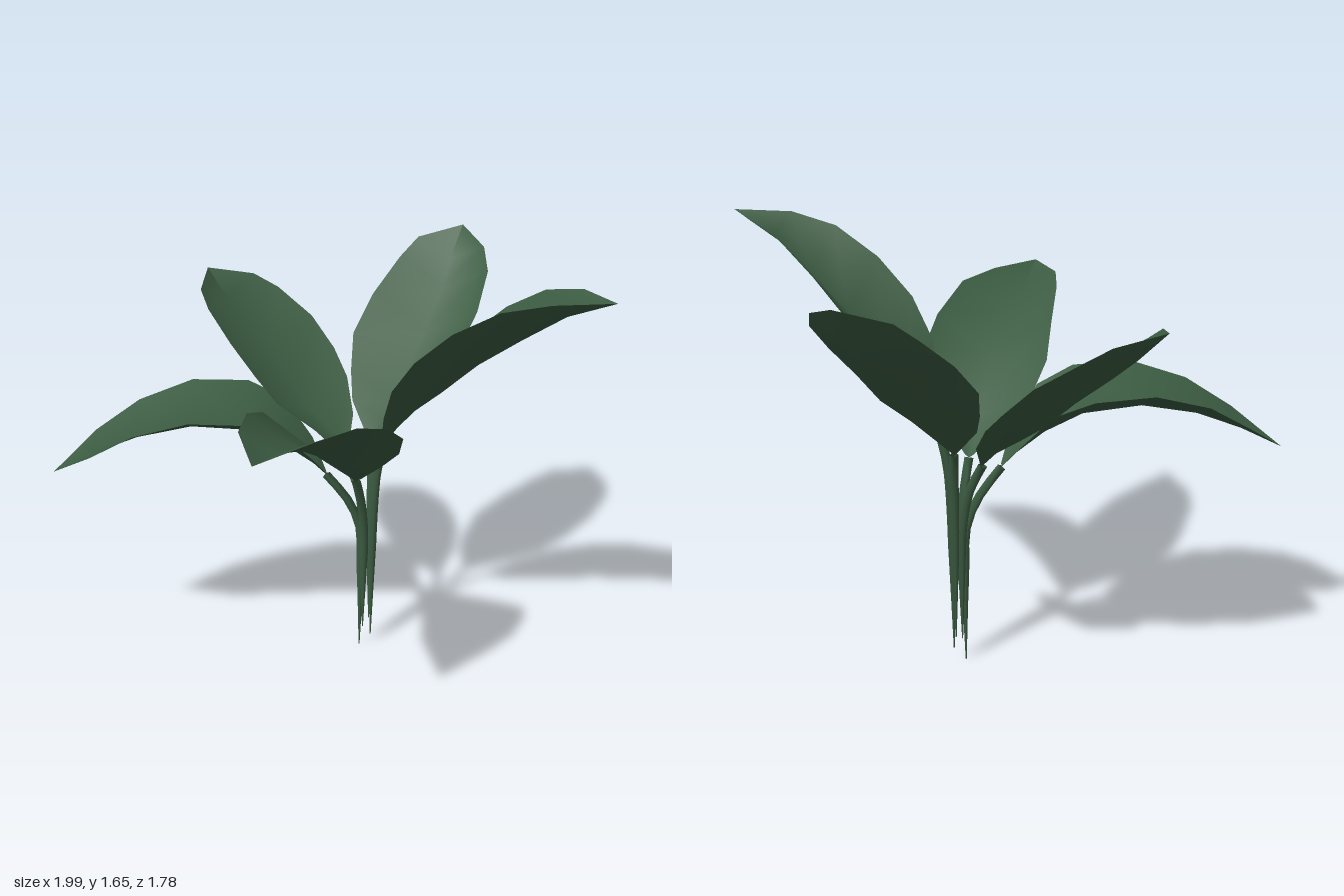
import * as THREE from 'three';

const green = new THREE.MeshStandardMaterial({ color: 0x3c5c42, side: THREE.DoubleSide });

// Indexed strip surface from equal-length rows of points
function loft(rows, name) {
  const n = rows[0].length, index = [];
  for (let i = 0; i < rows.length - 1; i++) {
    for (let j = 0; j < n - 1; j++) {
      const a = i * n + j, b = a + n;
      index.push(a, a + 1, b, a + 1, b + 1, b);
    }
  }
  const geo = new THREE.BufferGeometry().setFromPoints(rows.flat());
  geo.setIndex(index);
  geo.computeVertexNormals();
  const mesh = new THREE.Mesh(geo, green);
  mesh.name = name;
  return mesh;
}

// Blade folded up along its midrib; stations are [x, y, z, halfWidth, edgeRise]
function blade(stations) {
  const first = stations[0], last = stations[stations.length - 1];
  const across = new THREE.Vector3(last[2] - first[2], 0, first[0] - last[0]).normalize();
  const rows = stations.map(([x, y, z, w, rise]) => [-1, 0, 1].map((s) =>
    new THREE.Vector3(x, y + Math.abs(s) * rise, z).addScaledVector(across, s * w)));
  return loft(rows, 'leafBlade');
}

// Slim four-sided stalk: pointed at the root, thickest midway, bending out to the blade
function stalk(root, top) {
  const [rx, ry, rz] = root;
  const bend = (t, y) => new THREE.Vector3(rx + (top.x - rx) * t, y, rz + (top.z - rz) * t);
  const path = new THREE.CatmullRomCurve3([
    new THREE.Vector3(...root), bend(0, 0.33),
    bend(0.05, Math.min(0.55, top.y - 0.2)), bend(0.4, top.y - 0.11), top,
  ]);
  const rings = 12, rows = [];
  for (let i = 0; i <= rings; i++) {
    const t = i / rings, c = path.getPointAt(t), dir = path.getTangentAt(t);
    const u = new THREE.Vector3(0, 0, 1).cross(dir).normalize();
    const v = dir.clone().cross(u);
    const r = 0.002 + 0.015 * Math.min(1, t / 0.5);
    rows.push([0, 1, 2, 3, 4].map((k) => c.clone()
      .addScaledVector(u, r * Math.cos(k * Math.PI / 2))
      .addScaledVector(v, r * Math.sin(k * Math.PI / 2))));
  }
  return loft(rows, 'leafStalk');
}

function leaf(name, root, stations) {
  const group = new THREE.Group();
  group.name = name;
  const [x, y, z] = stations[0];
  group.add(stalk(root, new THREE.Vector3(x, y, z)), blade(stations));
  return group;
}

export function createModel() {
  const plant = new THREE.Group();
  plant.name = 'plant';

  // Drooping leaf on the right
  plant.add(leaf('rightLeaf', [0.2, 0, -0.185], [
    [0.06, 0.78, -0.18, 0.015, 0.01],
    [0.01, 0.83, -0.18, 0.12, 0.06],
    [-0.1, 0.91, -0.18, 0.2, 0.12],
    [-0.24, 0.975, -0.185, 0.235, 0.115],
    [-0.46, 0.995, -0.185, 0.23, 0.105],
    [-0.67, 0.955, -0.185, 0.19, 0.08],
    [-0.84, 0.89, -0.19, 0.14, 0.04],
    [-1, 0.81, -0.2, 0, 0],
  ]));

  plant.add(leaf('frontLeaf', [0.21, 0.1, -0.157], [
    [0.17, 0.79, -0.09, 0.015, 0.01],
    [0.14, 0.84, -0.02, 0.12, 0.06],
    [0.11, 0.9, 0.07, 0.21, 0.11],
    [0.08, 0.96, 0.15, 0.245, 0.15],
    [0.02, 1.07, 0.31, 0.23, 0.145],
    [-0.07, 1.19, 0.51, 0.195, 0.11],
    [-0.16, 1.255, 0.68, 0.13, 0.06],
    [-0.24, 1.31, 0.89, 0, 0],
  ]));

  // Tallest leaf
  plant.add(leaf('leftLeaf', [0.245, 0.05, -0.18], [
    [0.28, 0.9, -0.175, 0.015, 0.01],
    [0.33, 0.99, -0.14, 0.1, 0.07],
    [0.39, 1.08, -0.09, 0.17, 0.13],
    [0.475, 1.18, -0.015, 0.2, 0.175],
    [0.59, 1.32, 0.075, 0.195, 0.17],
    [0.72, 1.45, 0.185, 0.165, 0.145],
    [0.85, 1.57, 0.29, 0.115, 0.07],
    [0.99, 1.65, 0.4, 0, 0],
  ]));

  plant.add(leaf('backLeftLeaf', [0.24, 0.11, -0.21], [
    [0.245, 0.87, -0.27, 0.015, 0.01],
    [0.285, 0.94, -0.335, 0.13, 0.06],
    [0.34, 1.0, -0.395, 0.195, 0.09],
    [0.39, 1.08, -0.485, 0.235, 0.13],
    [0.48, 1.22, -0.6, 0.235, 0.12],
    [0.57, 1.36, -0.73, 0.2, 0.1],
    [0.61, 1.46, -0.81, 0.15, 0.07],
    [0.67, 1.58, -0.89, 0, 0],
  ]));

  plant.add(leaf('backRightLeaf', [0.215, 0.1, -0.205], [
    [0.14, 0.82, -0.26, 0.015, 0.01],
    [0.1, 0.89, -0.33, 0.115, 0.05],
    [0.02, 0.96, -0.4, 0.205, 0.09],
    [-0.045, 1.03, -0.48, 0.23, 0.11],
    [-0.135, 1.14, -0.565, 0.235, 0.11],
    [-0.245, 1.26, -0.67, 0.2, 0.09],
    [-0.31, 1.33, -0.72, 0.15, 0.075],
    [-0.39, 1.44, -0.8, 0, 0],
  ]));

  return plant;
}
